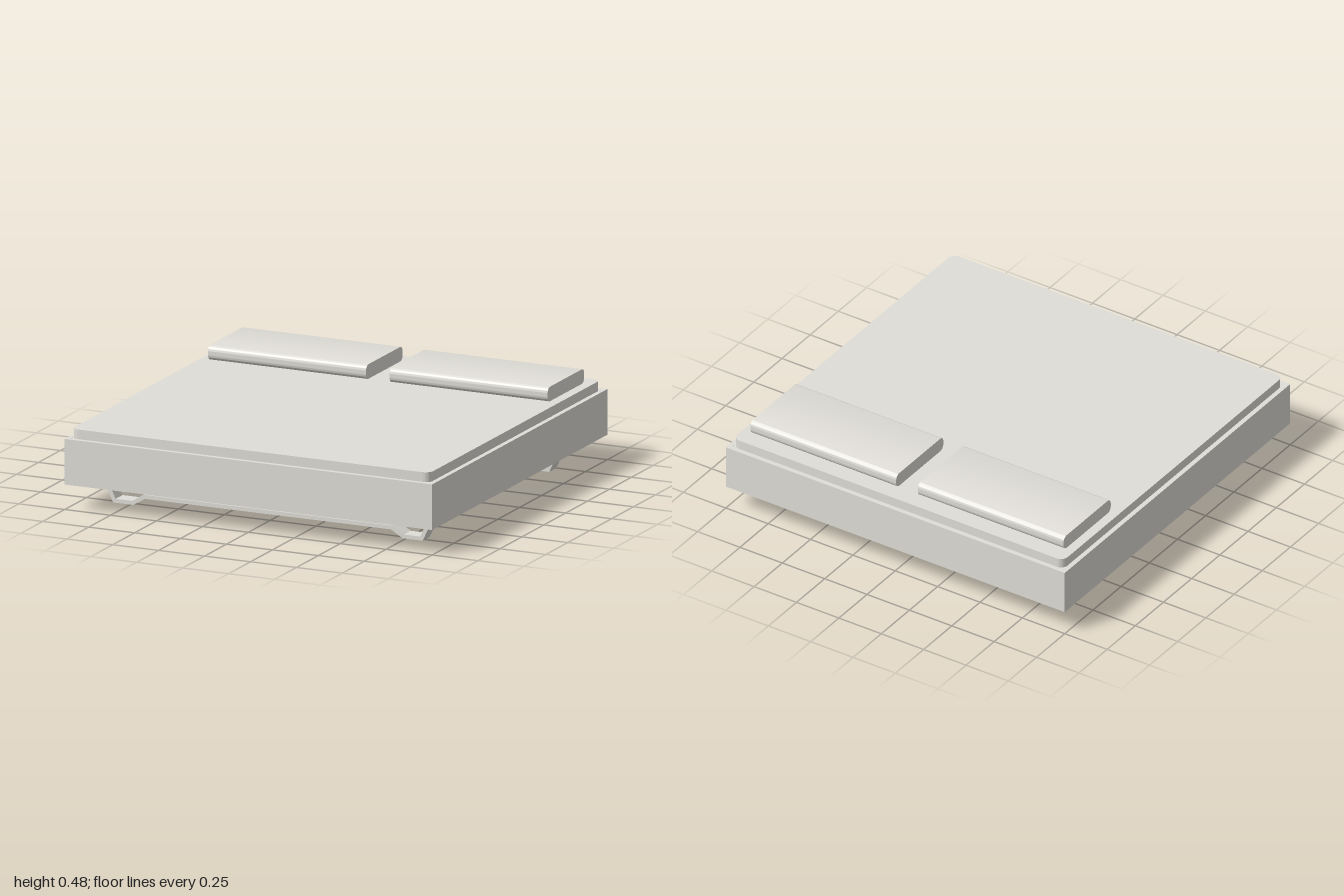
import * as THREE from 'three';
import { toCreasedNormals } from 'three/addons/utils/BufferGeometryUtils.js';

// rounded rectangle centred on the origin
function roundedRect(w, h, r) {
  const x = w / 2, y = h / 2, s = new THREE.Shape();
  s.absarc(x - r, y - r, r, 0, Math.PI / 2);
  s.absarc(-x + r, y - r, r, Math.PI / 2, Math.PI);
  s.absarc(-x + r, -y + r, r, Math.PI, Math.PI * 1.5);
  s.absarc(x - r, -y + r, r, Math.PI * 1.5, Math.PI * 2);
  s.closePath();
  return s;
}

// straight extrusion centred along its depth
function extrude(shape, depth) {
  const g = new THREE.ExtrudeGeometry(shape, { depth, bevelEnabled: false, curveSegments: 6 });
  g.translate(0, 0, -depth / 2);
  return toCreasedNormals(g, 0.5);
}

const toPoints = pts => pts.map(([x, y]) => new THREE.Vector2(x, y));

export function createModel() {
  const model = new THREE.Group();
  model.name = 'doubleBed';
  const grey = new THREE.MeshStandardMaterial({ color: 0xe0ded7 });
  grey.name = 'warm grey';

  function add(name, geometry, x, y, z) {
    const mesh = new THREE.Mesh(geometry, grey);
    mesh.name = name;
    mesh.position.set(x, y, z);
    model.add(mesh);
  }

  // hollow surround of the bed frame
  const inner = 0.975;
  const rim = new THREE.Shape(toPoints([[-1, -1], [1, -1], [1, 1], [-1, 1]]));
  rim.holes.push(new THREE.Path(toPoints([[-inner, -inner], [-inner, inner], [inner, inner], [inner, -inner]])));
  add('bedFrame', extrude(rim, 0.232).rotateX(-Math.PI / 2), 0, 0.243, 0);

  // shallowly recessed base panel that closes the frame
  add('basePanel', new THREE.BoxGeometry(1.96, 0.178, 1.96), 0, 0.269, 0);

  // mattress with rounded corners
  add('mattress', extrude(roundedRect(1.95, 1.95, 0.04), 0.1).rotateX(-Math.PI / 2), 0, 0.358, 0);

  // pillows with rounded front and back edges
  const pillow = extrude(roundedRect(0.418, 0.074, 0.028), 0.86).rotateY(Math.PI / 2);
  add('rightPillow', pillow, -0.495, 0.445, -0.688);
  add('leftPillow', pillow, 0.493, 0.445, -0.688);

  // bent flat-bar legs, one half outline mirrored to the other side
  const under = [[0.932, 0.185], [0.842, 0], [0.733, 0], [0.67, 0.038]];
  const over = [[0.676, 0.058], [0.739, 0.02], [0.829, 0.02], [0.909, 0.185]];
  const mirror = pts => pts.map(([x, y]) => [-x, y]).reverse();
  const outline = [...under, ...mirror(under), ...mirror(over), ...over];
  const bar = extrude(new THREE.Shape(toPoints(outline)), 0.08);
  add('frontLegs', bar, 0, 0, 0.737);
  add('backLegs', bar, 0, 0, -0.707);

  return model;
}
